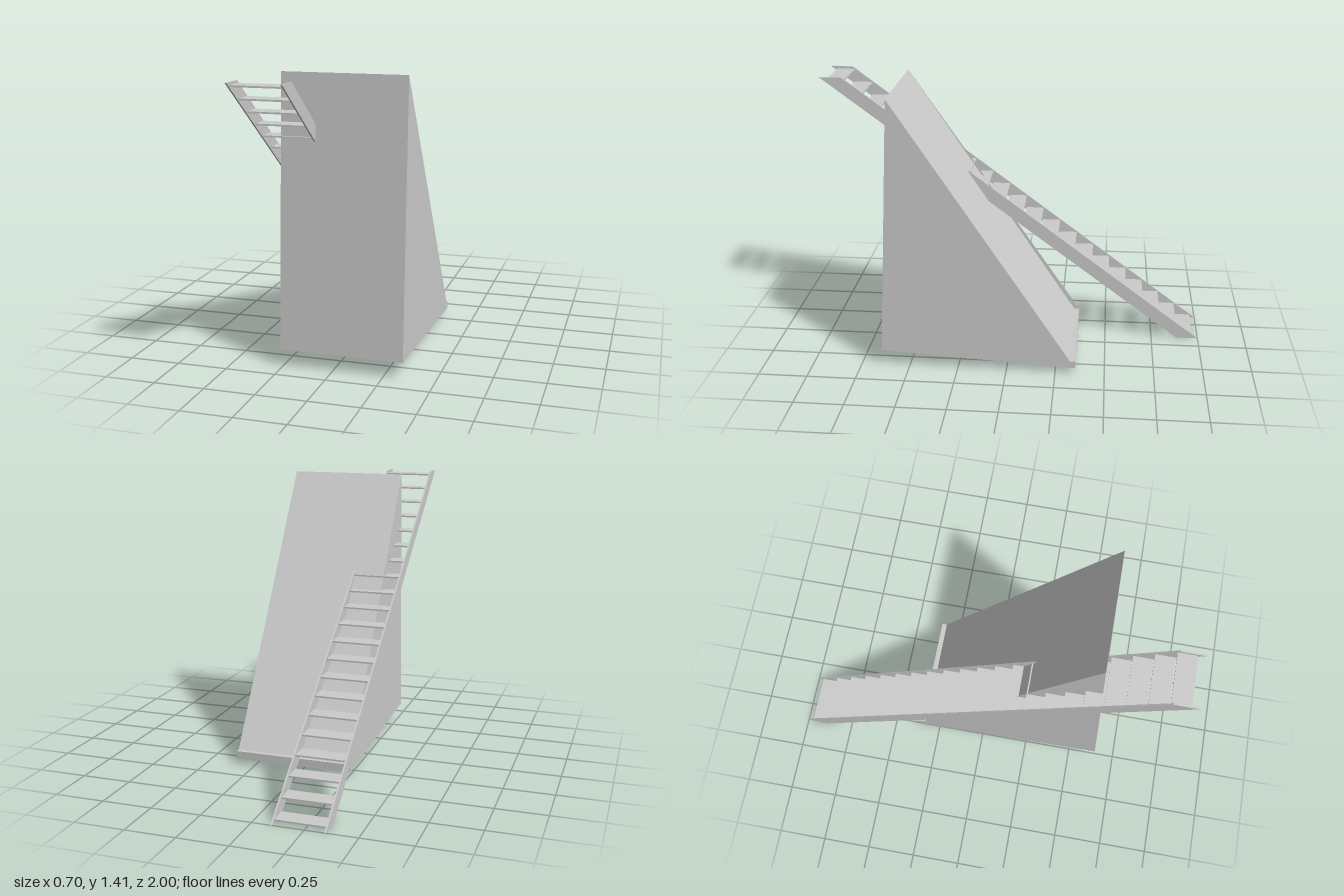
import * as THREE from 'three';

const material = new THREE.MeshStandardMaterial({ color: 0xcccccc, flatShading: true });
const doubleSided = new THREE.MeshStandardMaterial({ color: 0xcccccc, flatShading: true, side: THREE.DoubleSide });

// Side outline given as [z, y] pairs
function outline(points) {
  return new THREE.Shape(points.map(([z, y]) => new THREE.Vector2(z, y)));
}

// Extrude a side outline across the width, from x0 to x1
function slab(name, points, x0, x1) {
  const geometry = new THREE.ExtrudeGeometry(outline(points), { depth: x1 - x0, bevelEnabled: false });
  geometry.rotateY(-Math.PI / 2).translate(x1, 0, 0);
  const mesh = new THREE.Mesh(geometry, material);
  mesh.name = name;
  return mesh;
}

export function createModel() {
  const model = new THREE.Group();
  model.name = 'wedgeWithLadder';

  // Leaning wedge with a small lip at the foot of the slope
  const apex = [0.568, 1.412], lipInner = [-0.325, 0.067], lipOuter = [-0.352, 0.067];
  model.add(slab('wedge', [apex, lipInner, lipOuter, [-0.352, 0.028], [0.643, 0.083]], -0.26, 0.347));

  // Thin sliver continuing the side wall out to the lip
  const fin = new THREE.Mesh(new THREE.ShapeGeometry(outline([apex, lipOuter, lipInner])), doubleSided);
  fin.name = 'sideFin';
  fin.rotation.y = -Math.PI / 2;
  fin.position.x = -0.26;
  model.add(fin);

  // Ladder passing through the wedge
  const ladder = new THREE.Group();
  ladder.name = 'ladder';
  const left = -0.09, right = -0.35, thickness = 0.008, height = 1.402;
  const rail = [[1, height], [0.884, height], [-1, 0], [-0.884, 0]];
  ladder.add(slab('leftRail', rail, left - thickness, left));
  ladder.add(slab('rightRail', rail, right, right + thickness));

  // Level treads between the rails
  const count = 21;
  const treadGeometry = new THREE.BoxGeometry(left - right - 2 * thickness, 0.008, 0.094);
  for (let i = 0; i < count; i++) {
    const y = 0.013 + (i / (count - 1)) * 1.372;
    const tread = new THREE.Mesh(treadGeometry, material);
    tread.name = 'tread';
    tread.position.set((left + right) / 2, y, -0.942 + (y / height) * 1.884);
    ladder.add(tread);
  }
  model.add(ladder);
  return model;
}
